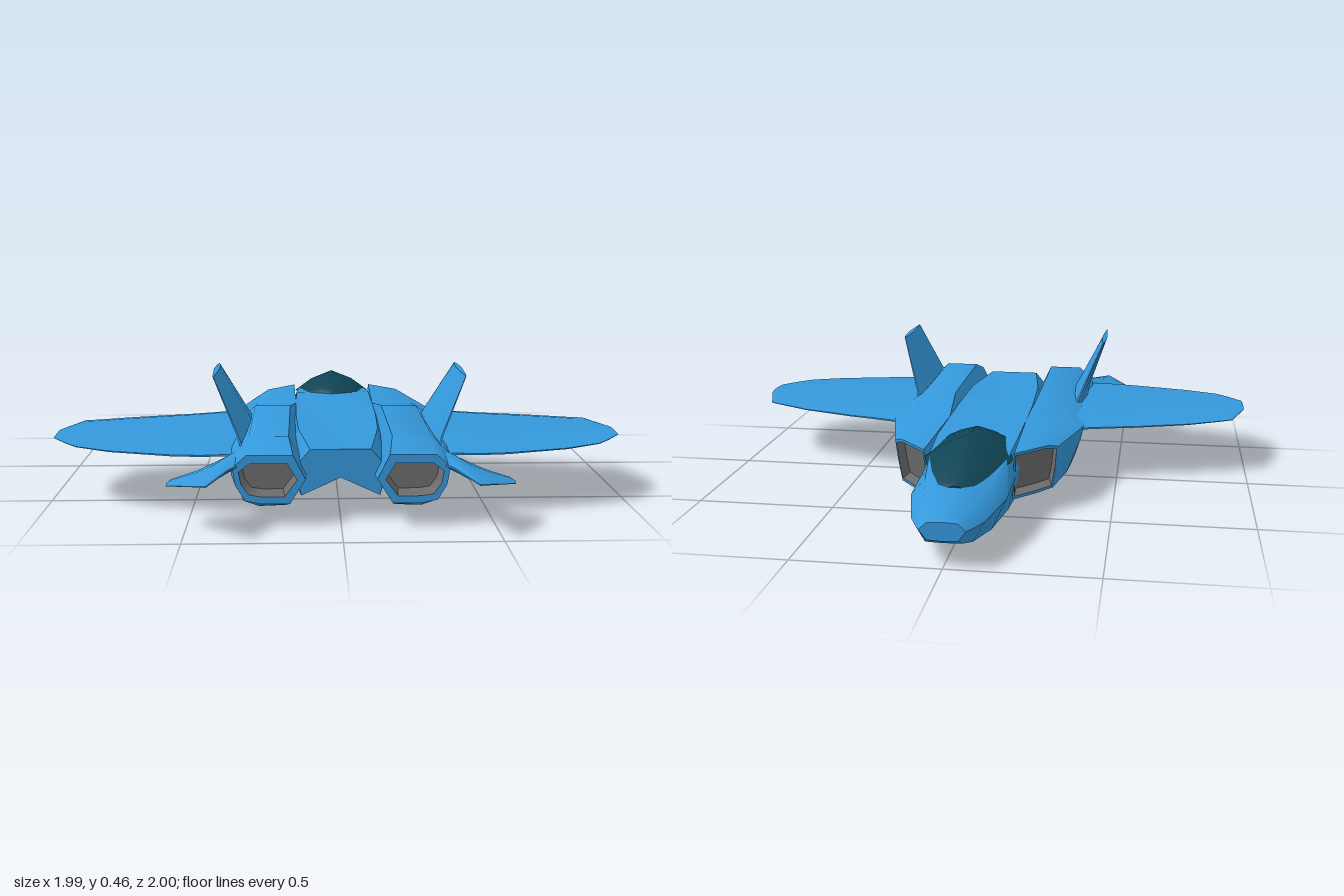
import * as THREE from 'three';
import { toCreasedNormals } from 'three/addons/utils/BufferGeometryUtils.js';

const V = (x, y, z) => new THREE.Vector3(x, y, z);

const paint = (name, color, side = THREE.FrontSide) => {
  const m = new THREE.MeshStandardMaterial({ color, side });
  m.name = name;
  return m;
};

const centre = (ring) =>
  ring.reduce((sum, p) => sum.add(p), V(0, 0, 0)).divideScalar(ring.length);

// Skin a list of equal-length rings; faces are turned outward by signed volume.
function loft(rings, capStart = true, capEnd = true, crease = 0.8) {
  const tris = [];
  const n = rings[0].length;
  for (let i = 0; i < rings.length - 1; i++) {
    for (let j = 0; j < n; j++) {
      const k = (j + 1) % n;
      const [a, b, c, d] = [rings[i][j], rings[i][k], rings[i + 1][k], rings[i + 1][j]];
      tris.push([a, b, c], [a, c, d]);
    }
  }
  const cap = (ring, flip) => {
    const m = centre(ring);
    for (let j = 0; j < n; j++) {
      const k = (j + 1) % n;
      tris.push(flip ? [m, ring[k], ring[j]] : [m, ring[j], ring[k]]);
    }
  };
  if (capStart) cap(rings[0], true);
  if (capEnd) cap(rings[rings.length - 1], false);
  const mid = centre(rings.flat());
  let volume = 0;
  for (const [a, b, c] of tris) {
    const p = a.clone().sub(mid), q = b.clone().sub(mid), r = c.clone().sub(mid);
    volume += p.dot(q.cross(r));
  }
  const pts = tris.flatMap(([a, b, c]) => (volume < 0 ? [a, c, b] : [a, b, c]));
  return toCreasedNormals(new THREE.BufferGeometry().setFromPoints(pts), crease);
}

// Thin lifting surface: stations of [x, y, zLead, zTrail, halfThickness].
const AIRFOIL = [[0, 0.1], [0.12, 0.6], [0.4, 1], [0.75, 0.6], [1, 0.1]];
function surface(stations, side, axis) {
  const ring = ([x, y, z0, z1, t]) => {
    const at = ([c, h], s) => {
      const p = V(x, y, z0 + (z1 - z0) * c);
      p[axis] += s * h * t;
      p.x *= side;
      return p;
    };
    return [...AIRFOIL.map((f) => at(f, 1)), ...AIRFOIL.map((f) => at(f, -1)).reverse()];
  };
  return loft(stations.map(ring));
}

// Shrink a ring toward its centre and shift it.
const inset = (ring, sx, sy, shift = V(0, 0, 0)) => {
  const m = centre(ring);
  return ring.map((p) => {
    const d = p.clone().sub(m);
    return m.clone().add(V(d.x * sx, d.y * sy, d.z * sx)).add(shift);
  });
};

export function createModel() {
  const group = new THREE.Group();
  const blue = paint('airframe blue', 0x3498db);
  const glass = paint('canopy dark teal', 0x0f4454);
  const grey = paint('duct grey', 0x6c6c6c, THREE.DoubleSide);
  const add = (name, geometry, material) => {
    const mesh = new THREE.Mesh(geometry, material);
    mesh.name = name;
    group.add(mesh);
  };

  // Central fuselage: z, top y, shoulder (x, y), side (x, y), keel corner (x, y), keel y
  const fuselage = [
    [-1.0, 0.158, 0.05, 0.155, 0.075, 0.13, 0.05, 0.098, 0.095],
    [-0.97, 0.168, 0.06, 0.163, 0.09, 0.13, 0.06, 0.08, 0.078],
    [-0.9, 0.183, 0.08, 0.175, 0.12, 0.13, 0.08, 0.06, 0.057],
    [-0.7, 0.208, 0.115, 0.195, 0.163, 0.14, 0.11, 0.028, 0.023],
    [-0.5, 0.235, 0.14, 0.222, 0.165, 0.15, 0.14, 0.03, 0.022],
    [-0.3, 0.24, 0.15, 0.238, 0.17, 0.15, 0.15, 0.025, 0.02],
    [0.15, 0.24, 0.15, 0.24, 0.19, 0.15, 0.17, 0.015, 0.02],
    [0.45, 0.24, 0.14, 0.245, 0.19, 0.15, 0.15, 0.045, 0.085],
    [0.75, 0.24, 0.1, 0.24, 0.15, 0.18, 0.13, 0.085, 0.145],
  ].map(([z, top, ...f]) => {
    const keel = f[6];
    const half = [[f[0], f[1]], [f[2], f[3]], [f[4], f[5]]];
    return [
      V(0, top, z), ...half.map(([x, y]) => V(x, y, z)),
      V(0, keel, z), ...half.reverse().map(([x, y]) => V(-x, y, z)),
    ];
  });
  add('fuselage', loft(fuselage), blue);

  // Canopy: z, half width, base y, ridge y
  const canopy = [
    [-0.78, 0.03, 0.19, 0.204],
    [-0.75, 0.07, 0.19, 0.218],
    [-0.65, 0.113, 0.195, 0.255],
    [-0.5, 0.156, 0.212, 0.298],
    [-0.3, 0.115, 0.232, 0.275],
    [-0.265, 0.055, 0.232, 0.252],
    [-0.245, 0.015, 0.23, 0.241],
  ].map(([z, w, base, top]) => {
    const mid = base + (top - base) * 0.6;
    return [V(-w, base, z), V(-w * 0.55, mid, z), V(0, top, z), V(w * 0.55, mid, z),
      V(w, base, z), V(0, base - 0.03, z)];
  });
  add('canopy', loft(canopy), glass);

  // Engine housing sections, eight corners each, running from intake to exhaust
  const housing = [
    { z: -0.5, raked: true, p: [[0.16, 0.236], [0.27, 0.236], [0.3, 0.222], [0.293, 0.14],
      [0.28, 0.06], [0.22, 0.055], [0.15, 0.055], [0.155, 0.15]] },
    { z: -0.05, p: [[0.15, 0.24], [0.3, 0.24], [0.37, 0.22], [0.36, 0.17],
      [0.31, 0.035], [0.25, 0.015], [0.17, 0.015], [0.1, 0.1]] },
    { z: 0.18, p: [[0.17, 0.275], [0.3, 0.275], [0.37, 0.22], [0.36, 0.17],
      [0.32, 0.025], [0.25, 0.003], [0.19, 0.003], [0.1, 0.1]] },
    { z: 0.72, p: [[0.17, 0.278], [0.3, 0.278], [0.36, 0.22], [0.36, 0.15],
      [0.32, 0.06], [0.27, 0.042], [0.18, 0.045], [0.11, 0.15]] },
    { z: 0.83, p: [[0.155, 0.24], [0.305, 0.24], [0.35, 0.2], [0.34, 0.14],
      [0.31, 0.09], [0.26, 0.08], [0.165, 0.08], [0.115, 0.16]] },
  ];

  for (const side of [1, -1]) {
    const label = side > 0 ? 'right' : 'left';
    const named = (part) => `${label}${part}`;
    const rings = housing.map(({ z, raked, p }) => p.map(([x, y]) =>
      V(side * x, y, raked ? z + (x - 0.16) * 1.1 + (0.235 - y) * 0.25 : z)));

    // Housing with lips folding inward at both ends
    const intakeLip = inset(rings[0], 0.92, 0.88);
    const exhaustLip = inset(rings[4], 0.8, 0.68);
    add(named('EngineHousing'), loft([intakeLip, ...rings, exhaustLip], false, false), blue);

    // Recessed ducts
    const intakeBack = inset(intakeLip, 0.9, 0.9, V(side * -0.01, 0, 0.06));
    add(named('Intake'), loft([intakeLip, intakeBack], false, true), grey);
    const exhaustBack = inset(exhaustLip, 0.9, 0.9, V(0, 0, -0.08));
    add(named('Exhaust'), loft([exhaustLip, exhaustBack], false, true), grey);

    // Main wing with a rounded tip
    add(named('Wing'), surface([
      [0.28, 0.21, -0.07, 0.7, 0.032],
      [0.37, 0.21, -0.05, 0.7, 0.03],
      [0.46, 0.209, -0.02, 0.705, 0.028],
      [0.56, 0.208, 0.008, 0.69, 0.025],
      [0.77, 0.21, 0.07, 0.635, 0.018],
      [0.895, 0.213, 0.125, 0.575, 0.012],
      [0.94, 0.215, 0.145, 0.525, 0.01],
      [0.995, 0.217, 0.31, 0.45, 0.006],
    ], side, 'y'), blue);

    // Canted tail fin
    add(named('TailFin'), surface([
      [0.315, 0.22, 0.16, 0.75, 0.04],
      [0.335, 0.275, 0.21, 0.72, 0.028],
      [0.418, 0.465, 0.36, 0.66, 0.01],
    ], side, 'x'), blue);

    // Drooping tailplane
    add(named('Tailplane'), surface([
      [0.31, 0.66, 0.81, 0.03], [0.36, 0.68, 0.85, 0.028], [0.42, 0.712, 0.995, 0.02],
      [0.47, 0.755, 0.94, 0.014], [0.55, 0.772, 0.855, 0.006], [0.56, 0.81, 0.843, 0.005],
    ].map(([x, z0, z1, t]) => [x, 0.205 - (x - 0.33) * 0.26, z0, z1, t]), side, 'y'), blue);
  }
  return group;
}
